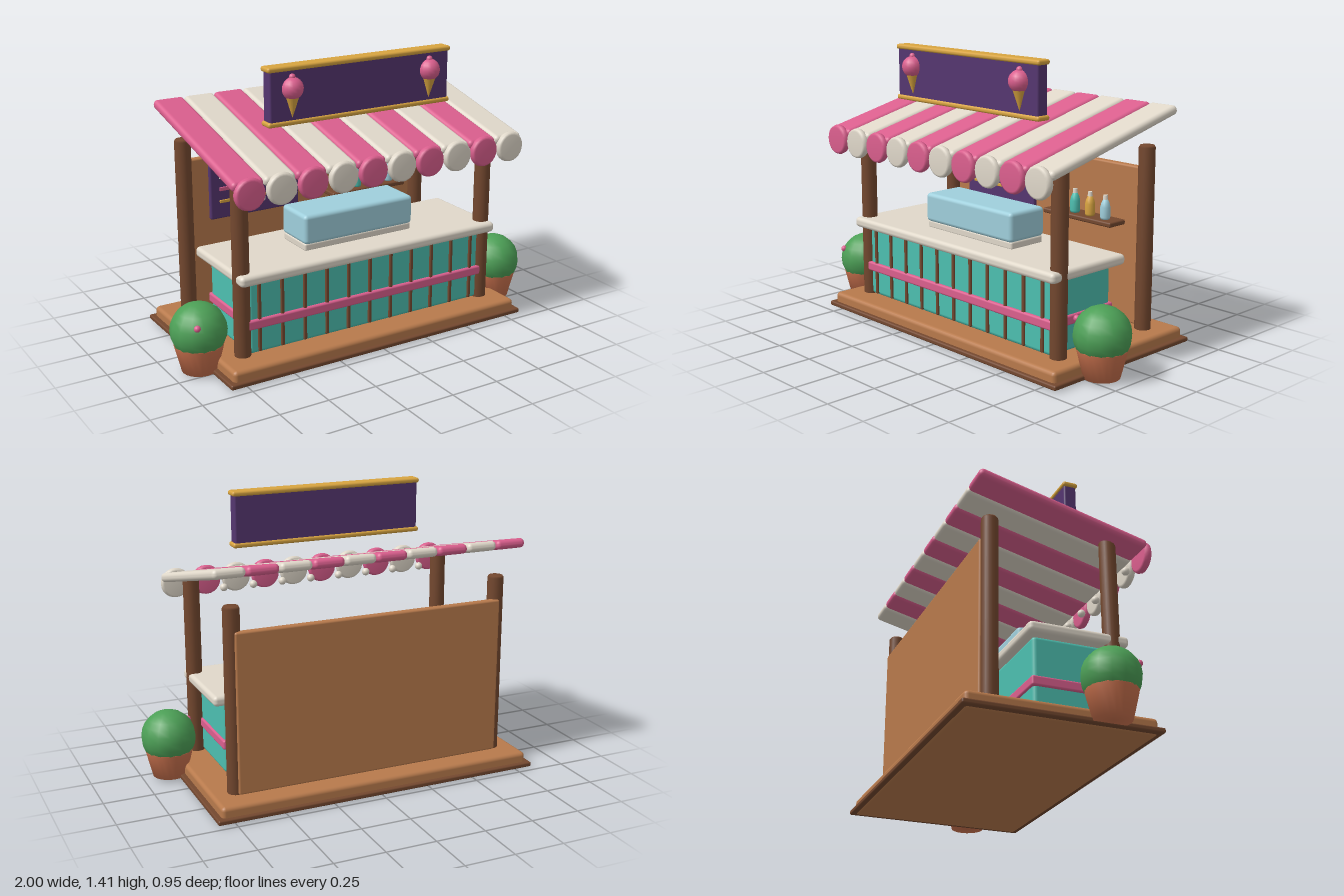
import * as THREE from 'three';
import { RoundedBoxGeometry } from 'three/addons/geometries/RoundedBoxGeometry.js';

const mat = (name, color) => {
  const m = new THREE.MeshStandardMaterial({ color });
  m.name = name;
  return m;
};

export function createModel() {
  const root = new THREE.Group();
  root.name = 'dessertStall';
  const wood = mat('wood', 0xb87a4c);
  const darkWood = mat('darkWood', 0x74482f);
  const pink = mat('pink', 0xdb5f8e);
  const cream = mat('cream', 0xe0d8ca);
  const purple = mat('purple', 0x553670);
  const gold = mat('gold', 0xd8a440);
  const teal = mat('teal', 0x4dbfb0);
  const glass = mat('glass', 0x9fcfdc);
  const leaf = mat('leaf', 0x4c9f56);
  const clay = mat('clay', 0xcb724e);

  const add = (name, geo, material, x, y, z, parent = root) => {
    const m = new THREE.Mesh(geo, material);
    m.name = name;
    m.position.set(x, y, z);
    parent.add(m);
    return m;
  };
  // rounded box given by its limits on each axis
  const box = (name, material, [x0, x1], [y0, y1], [z0, z1], r = 0.01, parent = root) =>
    add(name, new RoundedBoxGeometry(x1 - x0, y1 - y0, z1 - z0, 2, r), material,
      (x0 + x1) / 2, (y0 + y1) / 2, (z0 + z1) / 2, parent);
  const ball = (r) => new THREE.SphereGeometry(r, 16, 12);
  const lathe = (pts, n = 16) => new THREE.LatheGeometry(pts.map(p => new THREE.Vector2(...p)), n);

  // Platform
  box('platformTrim', darkWood, [-0.835, 0.835], [0.006, 0.03], [-0.475, 0.46], 0.008);
  box('platform', wood, [-0.81, 0.81], [0, 0.08], [-0.455, 0.44], 0.02);

  // Posts and back wall
  for (const x of [-0.69, 0.69]) {
    for (const [name, z] of [['frontPost', 0.29], ['backPost', -0.3]]) {
      add(name, lathe([[0, 0.07], [0.04, 0.07], [0.04, 0.975], [0.034, 0.985], [0, 0.985]]), darkWood, x, 0, z);
    }
  }
  box('backWall', wood, [-0.69, 0.69], [0.08, 0.87], [-0.35, -0.31], 0.01);

  // Counter with slats and band
  box('counterBody', teal, [-0.665, 0.665], [0.08, 0.45], [-0.085, 0.31], 0.02);
  for (let i = 0; i < 11; i++) {
    box('counterSlat', darkWood, [-0.619 + i * 0.122, -0.601 + i * 0.122], [0.09, 0.45], [0.3, 0.32], 0.006);
  }
  box('counterBand', pink, [-0.675, 0.675], [0.208, 0.256], [-0.095, 0.325], 0.01);
  box('counterTop', cream, [-0.725, 0.725], [0.443, 0.495], [-0.125, 0.365], 0.02);

  // Display case
  box('caseBase', cream, [-0.305, 0.305], [0.49, 0.53], [0.005, 0.213], 0.01);
  box('displayCase', glass, [-0.31, 0.31], [0.525, 0.672], [-0.003, 0.223], 0.02);

  // Menu board
  box('menuBoard', purple, [-0.555, -0.05], [0.545, 0.83], [-0.315, -0.29], 0.01);
  [[cream, 0.765, 0.39], [pink, 0.7, 0.325], [gold, 0.635, 0.26]].forEach(([m, y, w], i) => {
    const h = 0.012 - i * 0.002;
    box('menuLine', m, [-0.505, -0.505 + w], [y - h, y + h], [-0.292, -0.284], 0.003);
  });

  // Shelf with bottles
  box('shelf', darkWood, [0.105, 0.555], [0.572, 0.597], [-0.315, -0.2], 0.008);
  const bottle = lathe([[0, 0], [0.022, 0], [0.025, 0.01], [0.025, 0.06], [0.02, 0.08], [0.011, 0.1], [0, 0.1]]);
  [pink, teal, gold, glass].forEach((m, i) => {
    const x = 0.18 + i * 0.1;
    add('bottle', bottle, m, x, 0.597, -0.25);
    add('bottleCap', new THREE.CylinderGeometry(0.011, 0.013, 0.022, 12), cream, x, 0.706, -0.25);
  });

  // Striped awning, scallops and hanging bulbs
  const scallop = lathe([[0, -0.02], [0.062, -0.02], [0.072, -0.014], [0.076, 0],
    [0.072, 0.014], [0.062, 0.02], [0, 0.02]], 24).rotateX(Math.PI / 2);
  for (let i = 0; i < 10; i++) {
    const x = -0.72 + i * 0.16;
    const m = i % 2 ? cream : pink;
    const stripe = add('awningStripe', new RoundedBoxGeometry(0.157, 0.046, 0.86, 3, 0.021), m, x, 1.055, 0.03);
    stripe.rotation.x = 0.24;
    add('awningScallop', scallop, m, x, 0.92, 0.453);
    if (i < 9) add('bulb', ball(0.02), cream, x + 0.08, 0.88, 0.41);
  }

  // Sign panel with gold rails
  box('signPanel', purple, [-0.495, 0.495], [1.145, 1.395], [0.172, 0.236], 0.01);
  for (const y of [1.144, 1.397]) {
    box('signRail', gold, [-0.505, 0.505], [y - 0.0125, y + 0.0125], [0.165, 0.242], 0.011);
  }
  // Ice cream cones on the sign
  for (const x of [-0.38, 0.38]) {
    const treat = new THREE.Group();
    treat.name = 'iceCream';
    treat.position.set(x, 0, 0.238);
    root.add(treat);
    add('cone', new THREE.ConeGeometry(0.036, 0.11, 16).rotateX(Math.PI), gold, 0, 1.222, 0, treat);
    add('scoop', ball(0.053), pink, 0, 1.305, 0, treat);
    add('cherry', ball(0.016), pink, 0, 1.357, 0, treat);
  }

  // Potted bushes
  const pot = lathe([[0, 0.012], [0.085, 0.012], [0.118, 0.145], [0.114, 0.152], [0, 0.152]], 20);
  for (const [x, dx, dz] of [[-0.865, -0.055, 0.108], [0.865, -0.115, 0.045]]) {
    const plant = new THREE.Group();
    plant.name = 'pottedBush';
    plant.position.set(x, 0, 0.19);
    root.add(plant);
    add('pot', pot, clay, 0, 0, 0, plant);
    add('bush', new THREE.SphereGeometry(0.135, 14, 12), leaf, 0, 0.212, 0, plant);
    add('flower', ball(0.016), pink, dx, 0.27, dz, plant);
  }
  return root;
}
